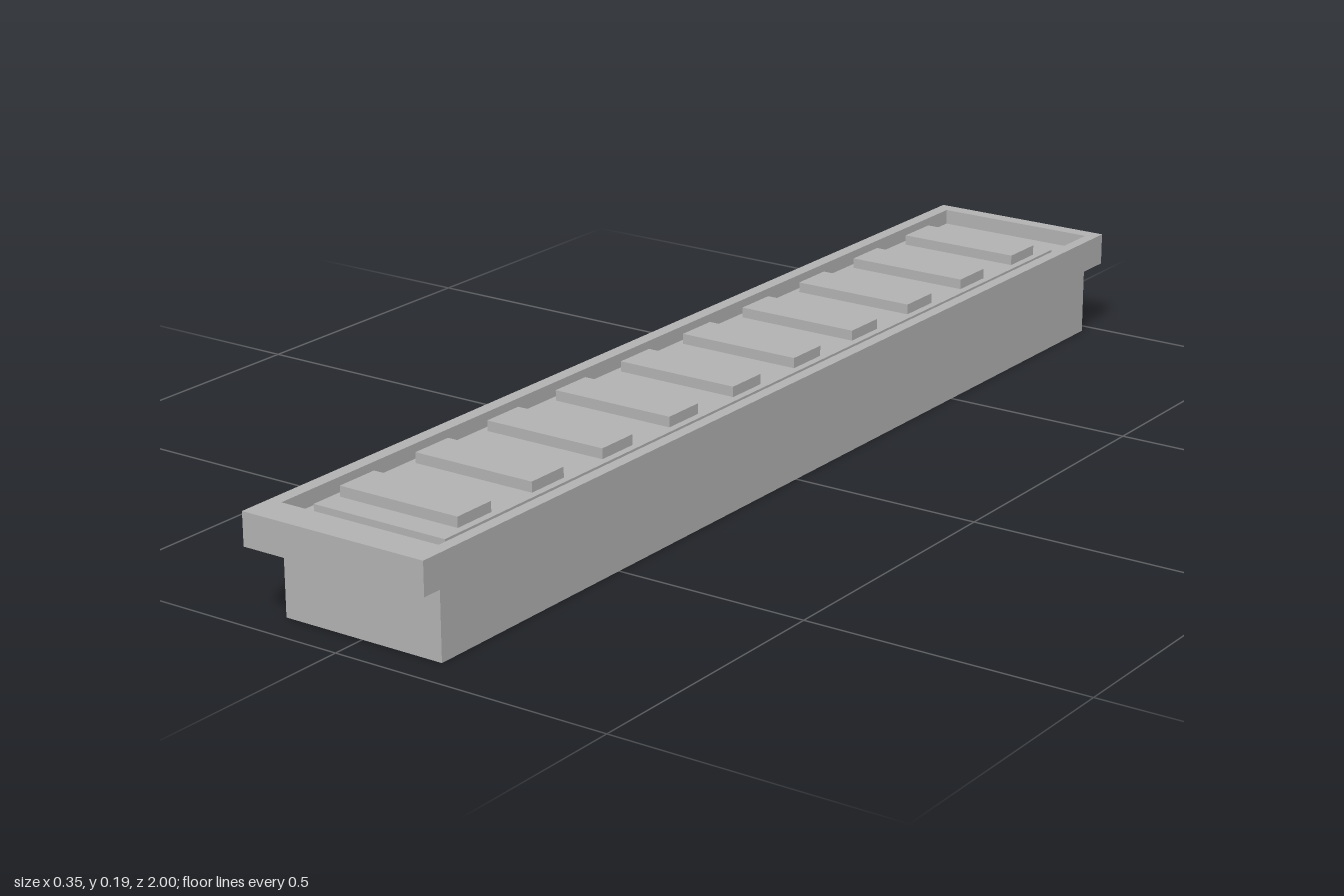
import * as THREE from 'three';

const grey = new THREE.MeshStandardMaterial({ color: 0xb2b2b2 });
grey.name = 'plain grey';

// Box given by its limits on each axis
function block(name, [x0, x1], [y0, y1], [z0, z1]) {
  const mesh = new THREE.Mesh(new THREE.BoxGeometry(x1 - x0, y1 - y0, z1 - z0), grey);
  mesh.position.set((x0 + x1) / 2, (y0 + y1) / 2, (z0 + z1) / 2);
  mesh.name = name;
  return mesh;
}

// Adds a closed rectangle to a shape or path; shape y maps to -z
function rectangle(path, [x0, x1], [z0, z1]) {
  path.moveTo(x0, -z1);
  path.lineTo(x1, -z1);
  path.lineTo(x1, -z0);
  path.lineTo(x0, -z0);
  path.closePath();
  return path;
}

export function createModel() {
  const model = new THREE.Group();
  model.name = 'slattedChannel';
  const bodyX = [-0.15, 0.153];
  const bodyZ = [-0.973, 0.939];

  // Body, its top being the sunken floor inside the rim
  model.add(block('body', bodyX, [0, 0.16], bodyZ));

  // Overhanging rim with a long rectangular opening
  const outline = rectangle(new THREE.Shape(), [-0.174, 0.174], [-1, 1]);
  outline.holes.push(rectangle(new THREE.Path(), bodyX, bodyZ));
  const rimGeometry = new THREE.ExtrudeGeometry(outline, { depth: 0.057, bevelEnabled: false });
  rimGeometry.rotateX(-Math.PI / 2);
  const rim = new THREE.Mesh(rimGeometry, grey);
  rim.name = 'rim';
  rim.position.y = 0.13;
  model.add(rim);

  // Raised bed carrying the slats
  model.add(block('bed', [-0.127, 0.127], [0.16, 0.175], [-0.893, 0.893]));

  // Ten evenly spaced slats
  const slats = new THREE.Group();
  slats.name = 'slats';
  for (let i = 0; i < 10; i++) {
    const z = (i - 4.5) * 0.1793;
    slats.add(block('slat', [-0.114, 0.114], [0.175, 0.193], [z - 0.04, z + 0.04]));
  }
  model.add(slats);
  return model;
}
